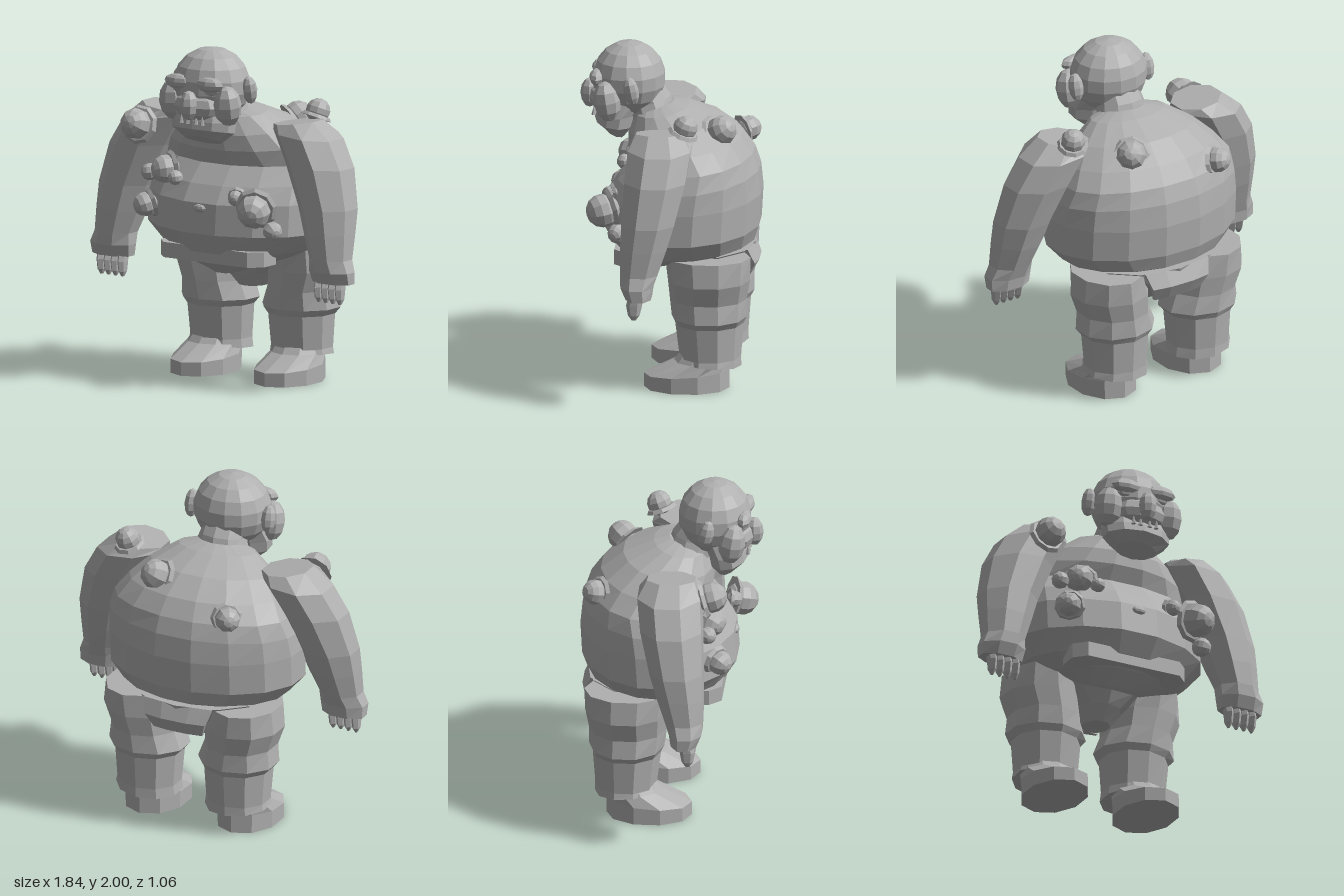
import * as THREE from 'three';

const skin = new THREE.MeshStandardMaterial({ color: 0xb0b0b0, flatShading: true });
skin.name = 'stone grey';

// Closed skin over rings listed bottom to top: [cx, cy, cz, rx, rz, tiltX, tiltZ]
function loft(rings, n, s = 1) {
  const pos = [], index = [];
  for (const [cx, cy, cz, rx, rz, tx = 0, tz = 0] of rings) {
    for (let j = 0; j < n; j++) {
      const a = ((j + 0.5) / n) * Math.PI * 2, c = Math.cos(a), d = Math.sin(a);
      pos.push(s * cx + rx * c, cy + s * tx * c + tz * d, cz + rz * d);
    }
  }
  const last = rings.length - 1;
  for (let i = 0; i < last; i++) {
    for (let j = 0; j < n; j++) {
      const a = i * n + j, b = i * n + (j + 1) % n;
      index.push(a, a + n, b, b, a + n, b + n);
    }
  }
  for (let j = 1; j < n - 1; j++) {
    index.push(0, j, j + 1, last * n, last * n + j + 1, last * n + j);
  }
  const g = new THREE.BufferGeometry();
  g.setAttribute('position', new THREE.Float32BufferAttribute(pos, 3));
  g.setIndex(index);
  const flat = g.toNonIndexed();
  flat.computeVertexNormals();
  return flat;
}

// Torso ring given by back/front heights, half width and back/front depth
const bodyRing = (yb, yf, rx, zb, zf) =>
  [0, (yb + yf) / 2, (zb + zf) / 2, rx, (zf - zb) / 2, 0, (yf - yb) / 2];

export function createModel() {
  const root = new THREE.Group();
  const add = (name, geometry, parent = root) => {
    const m = new THREE.Mesh(geometry, skin);
    m.name = name;
    parent.add(m);
    return m;
  };
  const ball = (name, x, y, z, rx, ry, rz, w = 8, h = 6) => {
    const m = add(name, new THREE.SphereGeometry(1, w, h));
    m.position.set(x, y, z);
    m.scale.set(rx, ry, rz);
    return m;
  };

  // Heavy torso with a chest fold and a drooping belly
  add('torso', loft([
    bodyRing(0.79, 0.645, 0.18, -0.25, 0.16),
    bodyRing(0.80, 0.72, 0.38, -0.43, 0.26),
    bodyRing(0.84, 0.79, 0.51, -0.50, 0.32),
    bodyRing(0.93, 0.91, 0.605, -0.53, 0.39),
    bodyRing(1.12, 1.09, 0.605, -0.54, 0.375),
    bodyRing(1.26, 1.19, 0.59, -0.525, 0.31),
    bodyRing(1.36, 1.30, 0.55, -0.49, 0.21),
    bodyRing(1.46, 1.39, 0.48, -0.42, 0.25),
    bodyRing(1.56, 1.48, 0.38, -0.29, 0.25),
    bodyRing(1.63, 1.58, 0.24, -0.11, 0.21),
    bodyRing(1.65, 1.62, 0.12, -0.02, 0.17),
  ], 16));
  ball('navel', 0, 1.06, 0.37, 0.045, 0.025, 0.02);

  // Neck, leaning forward into the head
  add('neck', loft([
    [0, 1.56, 0.10, 0.17, 0.13, 0, -0.03],
    [0, 1.65, 0.13, 0.14, 0.13, 0, -0.03],
    [0, 1.74, 0.18, 0.13, 0.12, 0, -0.02],
  ], 10));

  // Head and face
  ball('head', 0, 1.78, 0.245, 0.235, 0.22, 0.215, 14, 9);
  add('jaw', loft([
    [0, 1.46, 0.33, 0.13, 0.06, 0, 0.03],
    [0, 1.52, 0.33, 0.21, 0.115, 0, 0.02],
    [0, 1.58, 0.32, 0.215, 0.12, 0, 0.005],
    [0, 1.70, 0.27, 0.19, 0.14],
  ], 10));
  ball('muzzle', 0, 1.67, 0.39, 0.16, 0.09, 0.09, 10);
  ball('nose', 0, 1.685, 0.475, 0.055, 0.088, 0.055);
  for (const s of [1, -1]) {
    ball('cheek', s * 0.195, 1.685, 0.36, 0.087, 0.122, 0.08).rotation.x = 0.15;
    ball('brow', s * 0.11, 1.81, 0.425, 0.1, 0.045, 0.045);
    ball('eye', s * 0.1, 1.77, 0.41, 0.065, 0.028, 0.03);
    ball('ear', s * 0.25, 1.765, 0.215, 0.045, 0.085, 0.045).rotation.x = 0.2;
    for (const x of [0.03, 0.075]) {
      const tooth = add('tooth', new THREE.ConeGeometry(0.015, 0.06, 5));
      tooth.position.set(s * x, 1.6, 0.445);
    }
  }

  for (const s of [1, -1]) {
    // Arm, from the broad hand up to the flat shoulder cap
    const side = s > 0 ? 'left' : 'right';
    add(side + 'Arm', loft([
      [0.79, 0.67, 0.13, 0.14, 0.08],
      [0.785, 0.74, 0.14, 0.148, 0.102],
      [0.77, 0.81, 0.13, 0.132, 0.118],
      [0.745, 0.95, 0.105, 0.156, 0.145, 0.01],
      [0.715, 1.10, 0.08, 0.182, 0.166],
      [0.63, 1.34, 0.045, 0.212, 0.193, -0.01],
      [0.535, 1.51, 0.025, 0.215, 0.198, -0.02],
      [0.47, 1.575, 0.03, 0.152, 0.15, 0.02],
    ], 8, s));
    for (let i = 0; i < 4; i++) {
      const x = 0.705 + i * 0.05;
      add('finger', loft([
        [x, 0.55, 0.155, 0.008, 0.012],
        [x, 0.58, 0.155, 0.022, 0.034],
        [x, 0.64, 0.155, 0.026, 0.045],
        [x, 0.69, 0.145, 0.025, 0.04],
      ], 6, s));
    }

    // Baggy trouser leg with a fold at the knee and a loose cuff
    add(side + 'Leg', loft([
      [0.29, 0.145, -0.25, 0.20, 0.182, 0.012, 0.012],
      [0.29, 0.19, -0.25, 0.192, 0.18],
      [0.29, 0.39, -0.245, 0.207, 0.20],
      [0.29, 0.43, -0.245, 0.243, 0.22],
      [0.305, 0.54, -0.24, 0.215, 0.225],
      [0.33, 0.66, -0.245, 0.235, 0.24],
      [0.345, 0.80, -0.24, 0.205, 0.25],
    ], 10, s));
    add(side + 'Foot', loft([
      [0.30, 0, -0.113, 0.187, 0.25],
      [0.30, 0.098, -0.113, 0.188, 0.25, 0, -0.018],
      [0.30, 0.165, -0.20, 0.165, 0.16],
      [0.295, 0.24, -0.23, 0.14, 0.13],
    ], 10, s));
  }

  // Seat of the trousers
  add('hips', loft([
    [0, 0.535, -0.17, 0.085, 0.09],
    [0, 0.62, -0.19, 0.16, 0.18],
    [0, 0.72, -0.21, 0.30, 0.26],
    [0, 0.81, -0.22, 0.42, 0.28],
  ], 10));
  const flap = add('backFlap', loft([
    [0, -0.09, 0.02, 0.17, 0.025],
    [0, 0.00, -0.02, 0.21, 0.035],
    [0, 0.09, 0.02, 0.24, 0.035],
  ], 8));
  flap.position.set(0, 0.72, -0.47);

  // Wide belt slab under the belly
  const plan = new THREE.Shape([
    [-0.37, -0.12], [-0.37, -0.24], [-0.30, -0.31], [0.30, -0.31], [0.37, -0.24], [0.37, -0.12],
  ].map(([x, y]) => new THREE.Vector2(x, y)));
  const belt = add('belt', new THREE.ExtrudeGeometry(plan, { depth: 0.09, bevelEnabled: false }));
  belt.rotation.x = -Math.PI / 2;
  belt.position.y = 0.73;

  // Warts: [x, y, z, radius, skirt, centre x of the surface beneath]
  const warts = [
    [-0.53, 1.49, 0.27, 0.092, 1, -0.56],
    [-0.33, 1.24, 0.25, 0.085, 1, -0.15],
    [-0.45, 1.21, 0.24, 0.052, 0, 0],
    [-0.23, 1.205, 0.29, 0.045, 0, 0],
    [-0.43, 1.03, 0.31, 0.073, 1, -0.2],
    [0.39, 1.08, 0.37, 0.1, 1, 0.25],
    [0.24, 1.14, 0.34, 0.048, 1, 0.15],
    [0.46, 0.96, 0.28, 0.058, 0, 0],
    [0.50, 1.62, -0.12, 0.073, 1, 0.45],
    [0.22, 1.53, -0.31, 0.09, 1, 0],
    [-0.31, 1.40, -0.43, 0.075, 1, 0],
  ];
  for (const [x, y, z, r, skirt, cx] of warts) {
    const wart = new THREE.Group();
    wart.name = 'wart';
    wart.position.set(x, y, z);
    const out = new THREE.Vector3(x - cx, y - 1.3, z);
    if (z > 0) out.y *= 0.4;
    wart.quaternion.setFromUnitVectors(new THREE.Vector3(0, 1, 0), out.normalize());
    add('wartDome', new THREE.SphereGeometry(r, 9, 7), wart);
    if (skirt) {
      const rim = add('wartRim', new THREE.CylinderGeometry(r * 1.1, r * 1.28, 0.02, 9), wart);
      rim.position.y = -r * 0.45;
    }
    root.add(wart);
  }
  return root;
}
